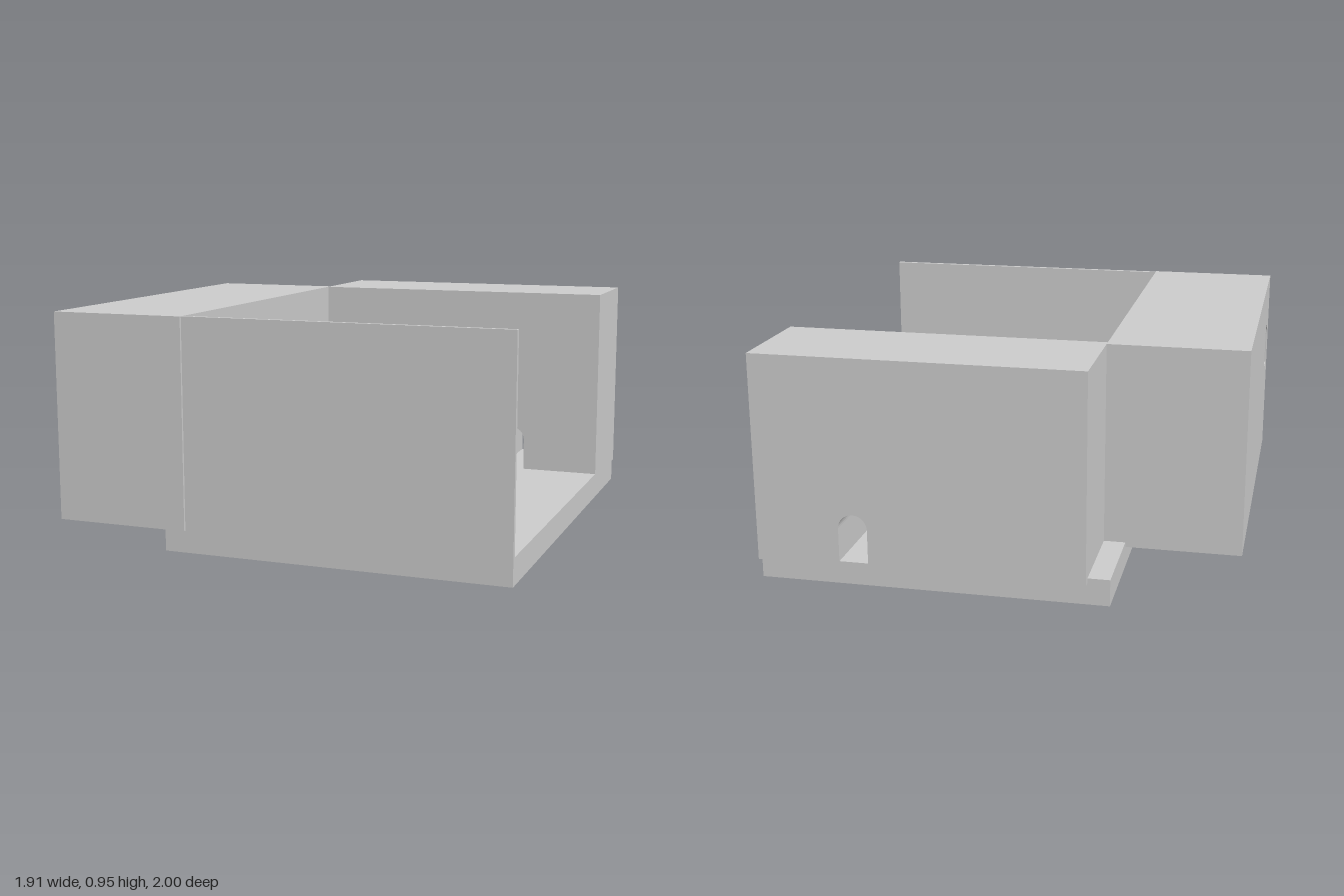
import * as THREE from 'three';

export function createModel() {
  const model = new THREE.Group();
  const material = new THREE.MeshStandardMaterial({ color: 0xcccccc, flatShading: true });
  const smooth = new THREE.MeshStandardMaterial({ color: 0xcccccc });

  const add = (name, geometry, mat = material) => {
    const mesh = new THREE.Mesh(geometry, mat);
    mesh.name = name;
    model.add(mesh);
    return mesh;
  };

  // Box given by its limits on each axis
  const box = (name, x0, x1, y0, y1, z0, z1) =>
    add(name, new THREE.BoxGeometry(x1 - x0, y1 - y0, z1 - z0))
      .position.set((x0 + x1) / 2, (y0 + y1) / 2, (z0 + z1) / 2);

  // Extrude a shape along x (shape x is -z) or along z (shape x is x)
  const extrude = (name, shape, axis, from, to) => {
    const g = new THREE.ExtrudeGeometry(shape, { depth: to - from, bevelEnabled: false, curveSegments: 10 });
    g.translate(0, 0, from);
    if (axis === 'x') g.rotateY(Math.PI / 2);
    return add(name, g);
  };

  // Bent slab following a line of [position, height] points, spanning from..to sideways
  const slab = (name, axis, line, from, to, t = 0.022) => {
    const s = axis === 'x' ? -1 : 1;
    const top = line.map(([p, y]) => new THREE.Vector2(s * p, y));
    const low = line.map(([p, y]) => new THREE.Vector2(s * p, Math.max(0.105, y - t))).reverse();
    extrude(name, new THREE.Shape([...top, ...low]), axis, from, to);
  };

  const rect = (a, b, y0, y1) => new THREE.Shape([
    new THREE.Vector2(a, y0), new THREE.Vector2(b, y0),
    new THREE.Vector2(b, y1), new THREE.Vector2(a, y1)]);

  // Round-topped doorway outline
  const doorway = (c, y0, r, height) => {
    const p = new THREE.Path();
    p.moveTo(c - r, y0);
    p.lineTo(c + r, y0);
    p.lineTo(c + r, y0 + height - r);
    p.absarc(c, y0 + height - r, r, 0, Math.PI, false);
    p.closePath();
    return p;
  };

  // Floor and outer walls
  box('floorBase', -0.48, 0.955, 0, 0.11, -0.965, 0.97);
  box('frontWall', -0.48, 0.955, 0, 0.09, 0.97, 0.99);
  box('frontWallPanel', -0.39, 0.955, 0.09, 0.95, 0.97, 0.99);

  const side = rect(-1, 0.57, 0.09, 0.95);
  side.holes.push(doorway(-0.82, 0.54, 0.06, 0.2));
  extrude('sideBlock', side, 'x', -0.96, -0.39);

  const back = rect(-0.39, 0.955, 0.09, 0.95);
  back.holes.push(doorway(0.55, 0.11, 0.06, 0.2));
  extrude('backBlock', back, 'z', -1, -0.54);

  // Long walkway along the side block
  slab('sideWalkway', 'x', [[0.97, 0.54], [0.56, 0.54], [0.33, 0.335], [-0.54, 0.335]], -0.39, -0.2);

  // Floating jump platforms and the ramp to the high ledge
  for (const z of [0.265, 0.07]) box('floatingPlatform', -0.39, -0.2, 0.62, 0.637, z, z + 0.125);
  slab('highRamp', 'x', [[0, 0.637], [-0.12, 0.637], [-0.24, 0.54], [-0.54, 0.54]], -0.39, -0.2, 0.018);
  box('highLedge', -0.2, 0.08, 0.52, 0.54, -0.54, -0.365);

  // Floating steps down along the back block
  for (let i = 0; i < 3; i++) {
    const x = 0.075 + i * 0.095, y = 0.487 - i * 0.068;
    box('floatingStep', x, x + 0.095, y - 0.018, y, -0.54, -0.475);
  }

  // Low ledge with ramps at the back
  box('lowLedge', -0.1, 0.31, 0.208, 0.23, -0.54, -0.43);
  slab('lowLedgeRamp', 'x', [[-0.54, 0.23], [-0.43, 0.23], [-0.3, 0.11]].reverse(), 0.31, 0.445);
  box('lowLedgeSpur', -0.1, -0.02, 0.208, 0.23, -0.43, -0.19);
  box('lowLedgeCorner', -0.13, -0.1, 0.208, 0.23, -0.54, -0.32);
  slab('spurRamp', 'z', [[-0.2, 0.335], [-0.1, 0.23]], -0.32, -0.19);

  // Stepped ramp beside the walkway
  slab('steppedRamp', 'x', [[0.71, 0.11], [0.56, 0.235], [0.41, 0.235], [0.31, 0.335], [0.18, 0.335]], -0.2, -0.095);

  // Free-standing bridge in the middle
  slab('bridge', 'x', [[0.17, 0.11], [0.055, 0.23], [-0.19, 0.23], [-0.31, 0.11]], 0.08, 0.212, 0.03);

  // Terraces descending along the front wall
  slab('upperTerraceRamp', 'z', [[-0.2, 0.54], [0.03, 0.335]], 0.73, 0.97);
  const terrace = rect(-0.97, -0.65, 0.11, 0.335);
  terrace.holes.push(doorway(-0.76, 0.112, 0.1, 0.14));
  extrude('archedTerrace', terrace, 'x', 0.03, 0.23);
  slab('terraceRamp', 'x', [[0.65, 0.335], [0.4, 0.11]], 0.025, 0.23, 0.03);
  const wedge = new THREE.Shape([[0.23, 0.11], [0.65, 0.11], [0.65, 0.22], [0.455, 0.22], [0.23, 0.335]]
    .map(([x, y]) => new THREE.Vector2(x, y)));
  extrude('lowTerrace', wedge, 'z', 0.757, 0.97);
  slab('lowTerraceRamp', 'x', [[0.757, 0.22], [0.63, 0.11]], 0.55, 0.655, 0.03);

  // Pill-shaped markers by the doorways
  for (const [x, y, z] of [[-0.3, 0.54, 0.86], [0.545, 0.11, -0.46]]) {
    add('marker', new THREE.CapsuleGeometry(0.02, 0.045, 6, 16), smooth).position.set(x, y + 0.0425, z);
  }

  return model;
}
